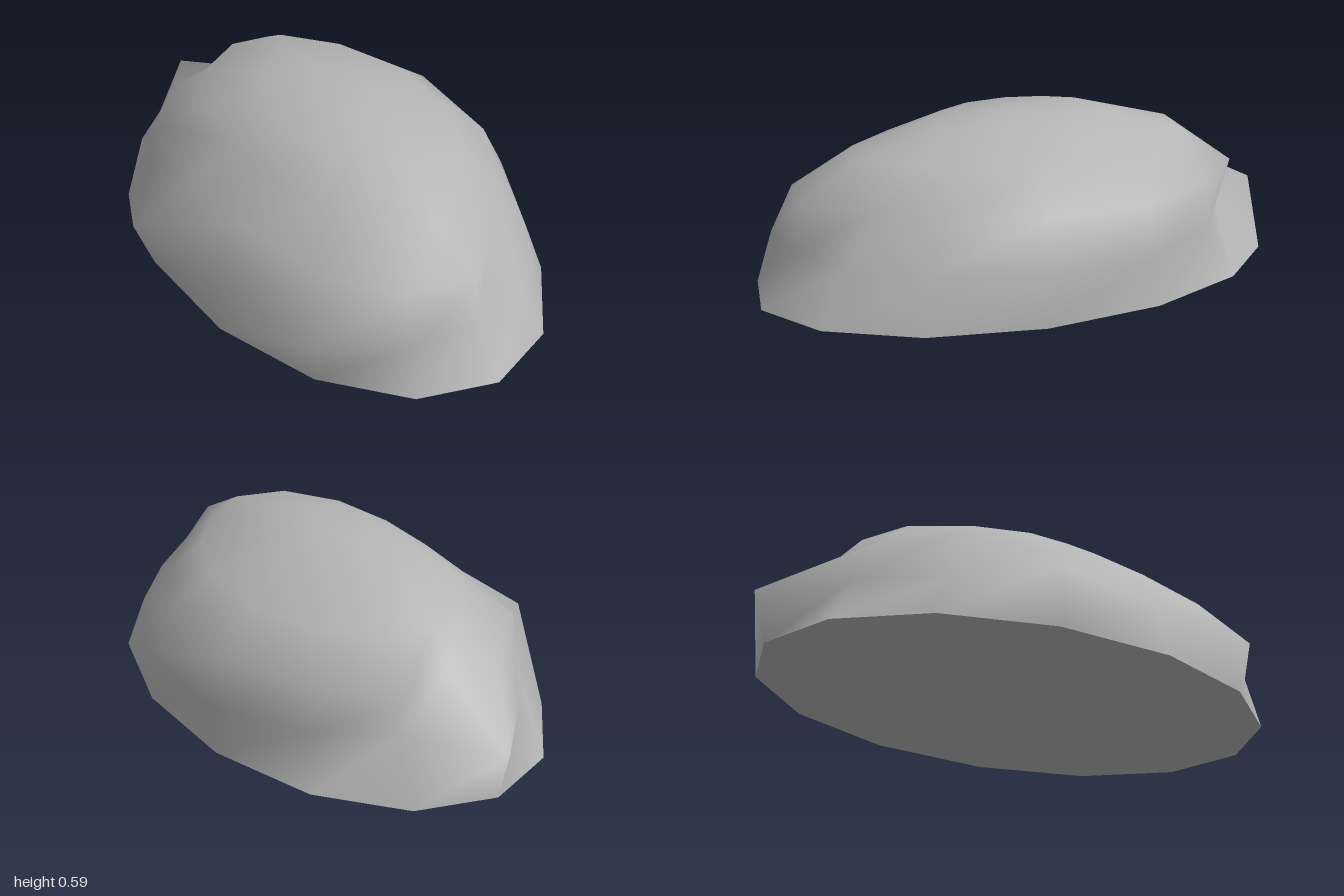
import * as THREE from 'three';

const SIDES = 14;
const CENTRE = [0.025, 0.023];
const RADIUS = [0.635, 0.975];
const HEIGHT = 0.587;

// Radial bulge and dent of each ring, starting at the front and turning towards +x
const RINGS = [
  [1, 1, 1, 1, 1, 1, 1, 1, 1, 1, 1, 1, 1, 1],
  [0.92, 0.93, 0.96, 1.05, 1.05, 0.93, 0.85, 1.10, 0.93, 0.90, 1.16, 1.0, 1.11, 0.99],
  [1.05, 0.91, 0.95, 1.09, 1.14, 1.08, 1.07, 0.88, 0.98, 1.05, 0.95, 0.93, 1.03, 1.06],
  [1.06, 1.0, 1.03, 1.12, 1.15, 1.12, 1.12, 1.10, 1.06, 1.0, 0.93, 0.93, 1.0, 1.06],
  [1.05, 1.0, 0.97, 0.97, 0.97, 1.03, 1.10, 1.10, 1.10, 1.1, 1.14, 1.14, 1.08, 1.05],
];

function ringPoint(ring, k) {
  const lift = (ring / RINGS.length) * Math.PI / 2;
  const turn = (k / SIDES) * Math.PI * 2;
  const r = Math.cos(lift) * RINGS[ring][k];
  return [
    CENTRE[0] + RADIUS[0] * r * Math.sin(turn),
    HEIGHT * Math.sin(lift),
    CENTRE[1] + RADIUS[1] * r * Math.cos(turn),
  ];
}

function makeGeometry(positions, index) {
  const g = new THREE.BufferGeometry();
  g.setAttribute('position', new THREE.Float32BufferAttribute(positions, 3));
  g.setIndex(index);
  g.computeVertexNormals();
  return g;
}

// Smooth dome: stacked rings closed by a single top point
function domeGeometry() {
  const positions = [], index = [];
  RINGS.forEach((_, i) => {
    for (let k = 0; k < SIDES; k++) positions.push(...ringPoint(i, k));
  });
  const top = RINGS.length * SIDES;
  positions.push(CENTRE[0], HEIGHT, CENTRE[1]);
  for (let i = 0; i < RINGS.length; i++) {
    for (let k = 0; k < SIDES; k++) {
      const next = (k + 1) % SIDES;
      const a = i * SIDES + k, b = i * SIDES + next;
      if (i === RINGS.length - 1) index.push(a, b, top);
      else index.push(a, b, b + SIDES, a, b + SIDES, a + SIDES);
    }
  }
  return makeGeometry(positions, index);
}

// Flat underside facing down
function undersideGeometry() {
  const positions = [CENTRE[0], 0, CENTRE[1]], index = [];
  for (let k = 0; k < SIDES; k++) {
    positions.push(...ringPoint(0, k));
    index.push(0, 1 + (k + 1) % SIDES, 1 + k);
  }
  return makeGeometry(positions, index);
}

export function createModel() {
  const stone = new THREE.MeshStandardMaterial({ color: 0xb4b4b4 });
  stone.name = 'grey stone';
  const group = new THREE.Group();
  group.name = 'boulder';
  const parts = { boulderDome: domeGeometry(), boulderUnderside: undersideGeometry() };
  for (const [name, geometry] of Object.entries(parts)) {
    const mesh = new THREE.Mesh(geometry, stone);
    mesh.name = name;
    group.add(mesh);
  }
  return group;
}
